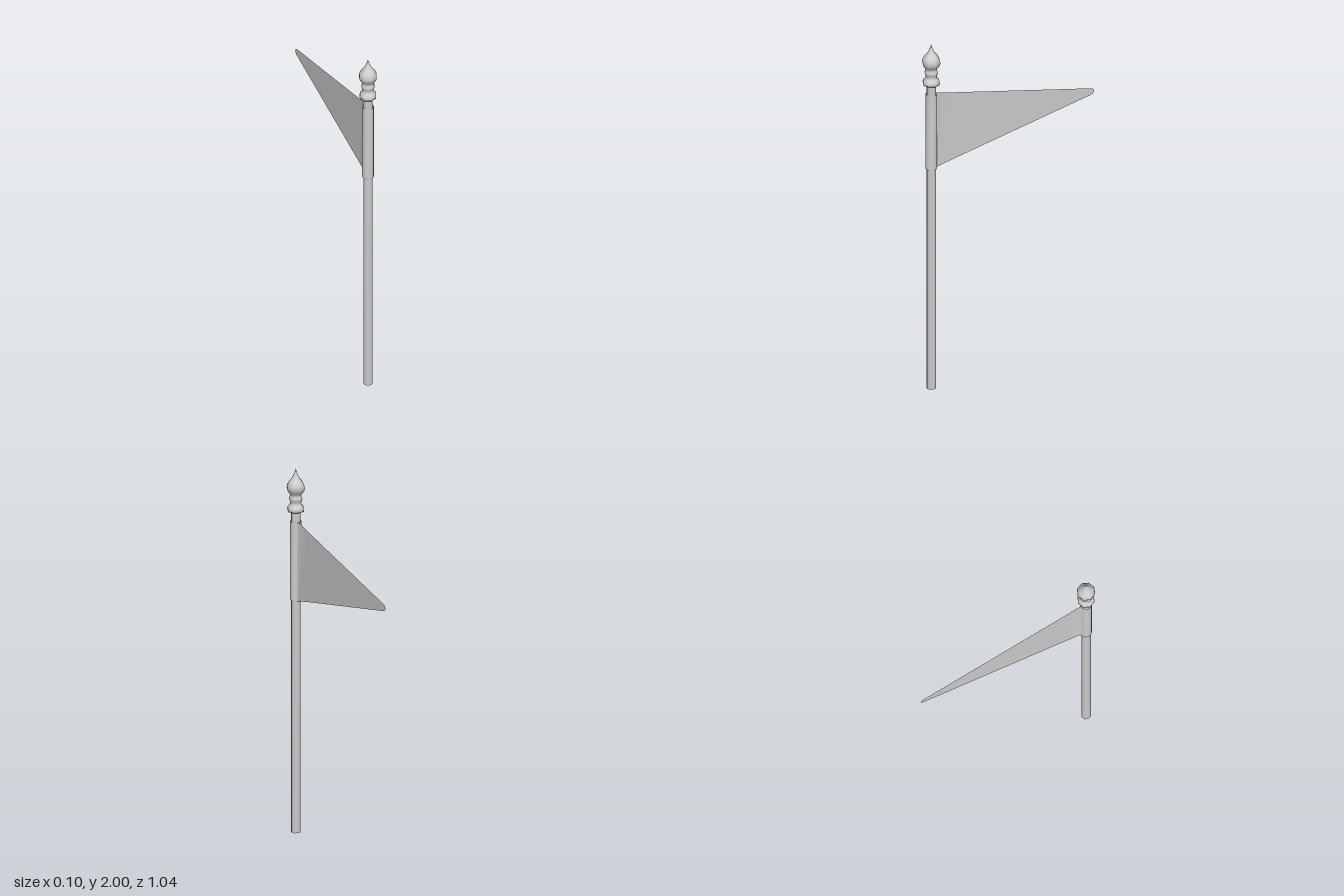
import * as THREE from 'three';

const POLE_Z = 0.47;
const FLAG_Y = 1.495;

// Cloth strip: each station is [x, z, halfHeight], swept around the pole and back
function clothGeometry(stations) {
  const pos = [], index = [];
  stations.forEach(([x, z, h], i) => {
    pos.push(x, FLAG_Y - h, z, x, FLAG_Y + h, z);
    if (i < stations.length - 1) {
      const b = i * 2;
      index.push(b, b + 1, b + 2, b + 1, b + 3, b + 2);
    }
  });
  const g = new THREE.BufferGeometry();
  g.setAttribute('position', new THREE.Float32BufferAttribute(pos, 3));
  g.setIndex(index);
  g.computeVertexNormals();
  return g;
}

export function createModel() {
  const group = new THREE.Group();
  const grey = new THREE.MeshStandardMaterial({ color: 0xcccccc, side: THREE.DoubleSide });
  grey.name = 'plainGrey';

  const add = (name, geometry, y = 0, z = 0) => {
    const mesh = new THREE.Mesh(geometry, grey);
    mesh.name = name;
    mesh.position.set(0, y, z);
    group.add(mesh);
  };

  // Pole
  add('pole', new THREE.CylinderGeometry(0.026, 0.026, 1.78, 8), 0.89, POLE_Z);

  // Turned finial: collar, ring, bulb and point
  const profile = [
    [0, 1.767], [0.045, 1.767], [0.047, 1.778], [0.045, 1.79], [0.034, 1.802],
    [0.029, 1.815], [0.034, 1.825], [0.037, 1.835], [0.034, 1.846], [0.028, 1.855],
    [0.036, 1.866], [0.046, 1.88], [0.05, 1.895], [0.047, 1.912], [0.037, 1.93],
    [0.022, 1.948], [0.011, 1.968], [0.004, 1.988], [0, 2],
  ].map(([r, y]) => new THREE.Vector2(r, y));
  add('finial', new THREE.LatheGeometry(profile, 8), 0, POLE_Z);

  // Pennant: one side from rounded tip to pole, a sleeve, then the other side
  const side = [
    [0.0006, -0.52, 0.003], [0.0006, -0.518, 0.009], [0.0006, -0.513, 0.014],
    [0.0006, -0.5, 0.019], [0.0006, 0.33, 0.192], [0.0006, 0.437, 0.2165],
  ];
  const sleeve = [];
  for (let i = 1; i < 16; i++) {
    const a = Math.PI - (i * Math.PI) / 8;
    sleeve.push([0.031 * Math.sin(a), POLE_Z + 0.031 * Math.cos(a), 0.2165]);
  }
  const otherSide = side.map(([x, z, h]) => [-x, z, h]).reverse();
  add('pennant', clothGeometry([...side, ...sleeve, ...otherSide]));

  return group;
}
